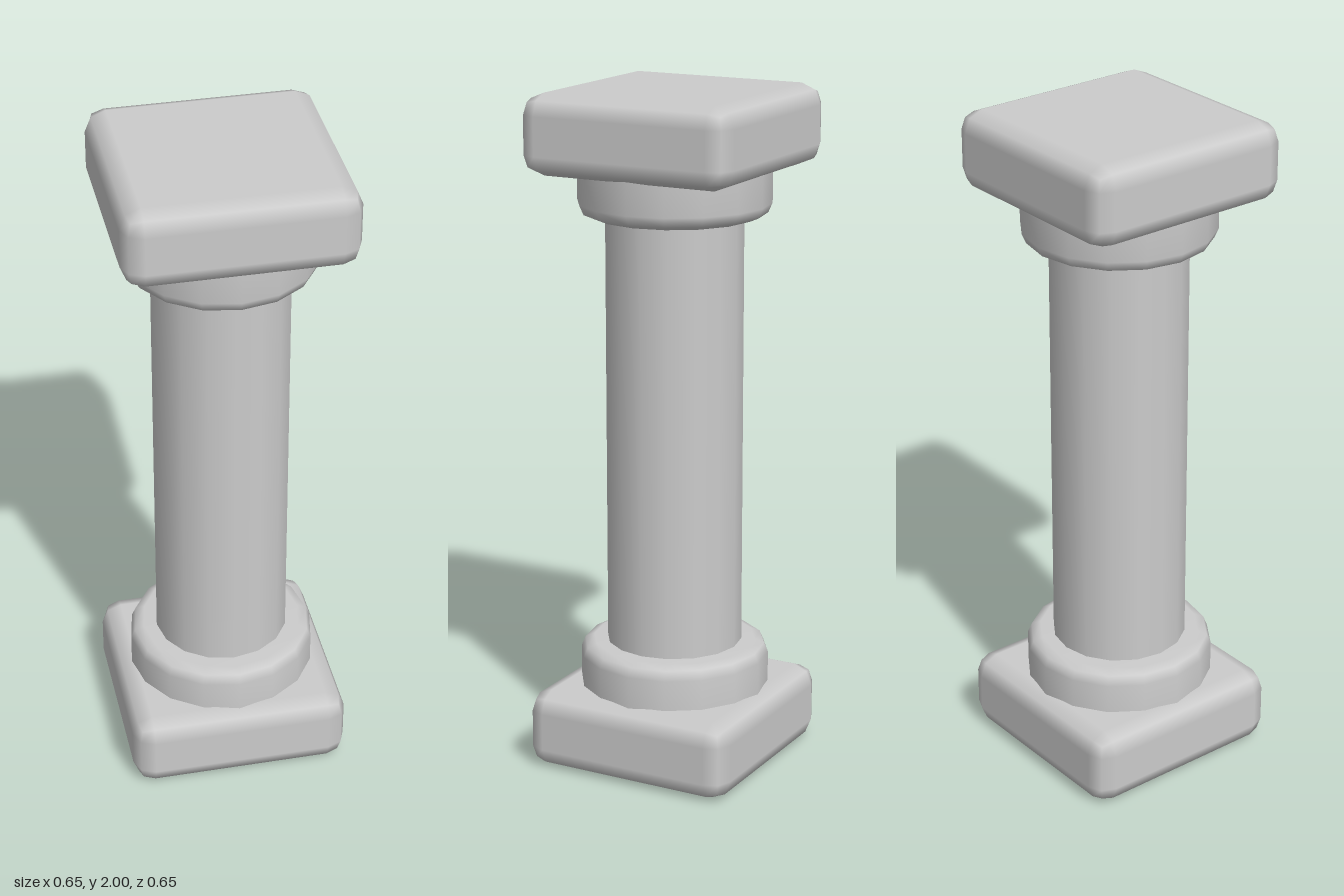
import * as THREE from 'three';
import { RoundedBoxGeometry } from 'three/addons/geometries/RoundedBoxGeometry.js';

const SIDES = 16;
const BLOCK_WIDTH = 0.655;
const BLOCK_HEIGHT = 0.232;
const COLLAR_TOP = 0.362;

export function createModel() {
  const model = new THREE.Group();
  model.name = 'column';
  const material = new THREE.MeshStandardMaterial({ color: 0xcccccc });

  const add = (parent, name, geometry, y = 0) => {
    const mesh = new THREE.Mesh(geometry, material);
    mesh.name = name;
    mesh.position.y = y;
    parent.add(mesh);
  };

  // Softly bevelled square slab
  const slab = new RoundedBoxGeometry(BLOCK_WIDTH, BLOCK_HEIGHT, BLOCK_WIDTH, 1, 0.06);

  // Round collar with a bevelled rim, sunk a little into the slab
  const profile = [
    [0.28, BLOCK_HEIGHT - 0.03],
    [0.28, COLLAR_TOP - 0.04],
    [0.268, COLLAR_TOP - 0.012],
    [0.24, COLLAR_TOP],
    [0, COLLAR_TOP],
  ].map(([r, y]) => new THREE.Vector2(r, y));
  const collar = new THREE.LatheGeometry(profile, SIDES);

  // The capital is the base turned upside down
  for (const name of ['base', 'capital']) {
    const end = new THREE.Group();
    end.name = name;
    add(end, name + 'Slab', slab, BLOCK_HEIGHT / 2);
    add(end, name + 'Collar', collar);
    if (name === 'capital') {
      end.position.y = 2;
      end.rotation.x = Math.PI;
    }
    model.add(end);
  }

  // Plain shaft between the two collars
  const shaftHeight = 2 - 2 * COLLAR_TOP + 0.04;
  add(model, 'shaft', new THREE.CylinderGeometry(0.2, 0.2, shaftHeight, SIDES), 1);

  return model;
}
